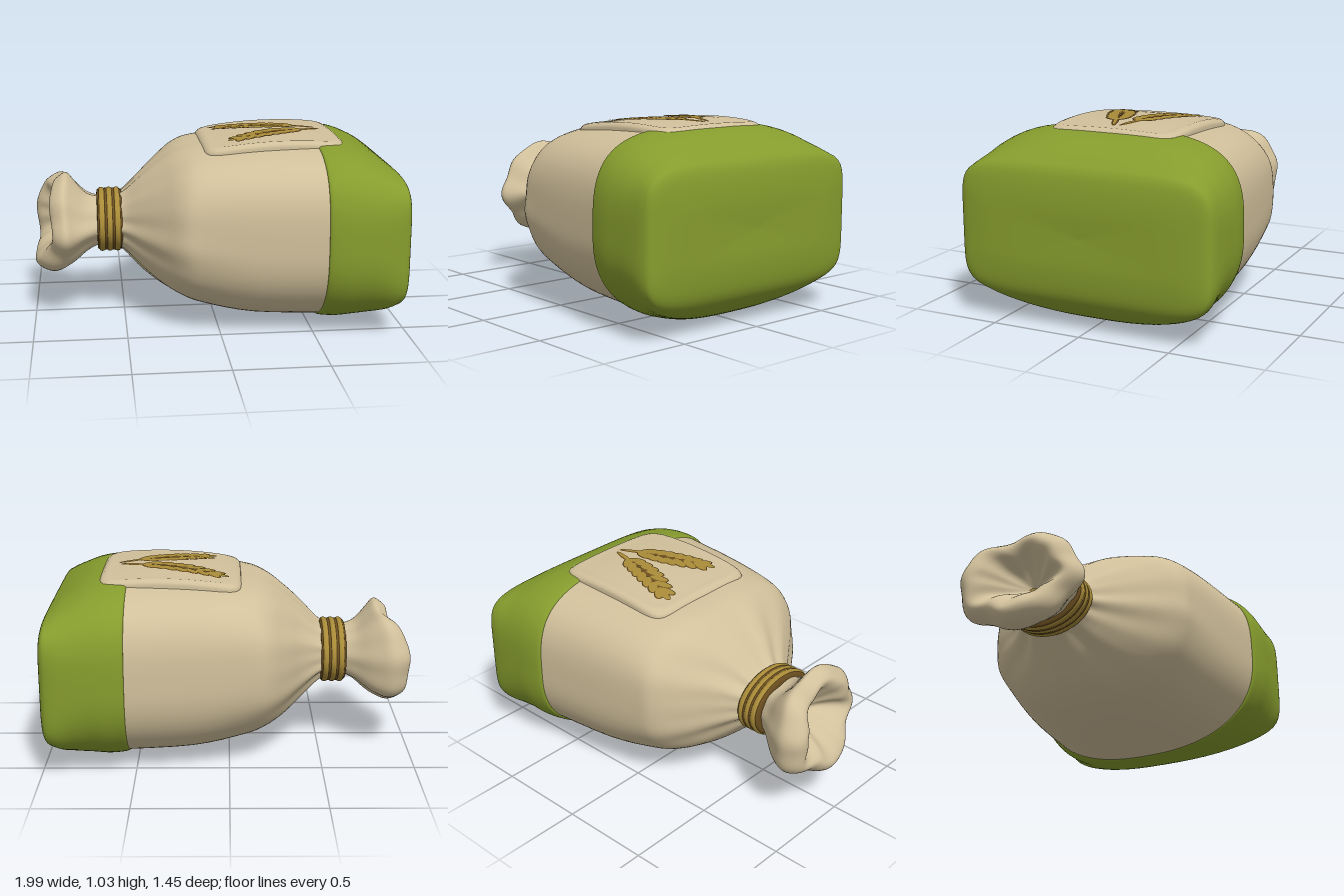
import * as THREE from 'three';

const mat = (name, color) => {
  const m = new THREE.MeshStandardMaterial({ color });
  m.name = name;
  return m;
};

// Catmull-Rom between the rows of a profile table
function refine(rows, sub) {
  const out = [];
  const at = i => rows[Math.min(Math.max(i, 0), rows.length - 1)];
  for (let i = 0; i < rows.length - 1; i++) {
    for (let k = 0; k < sub; k++) {
      const t = k / sub, [a, b, c, d] = [at(i - 1), at(i), at(i + 1), at(i + 2)];
      out.push(b.map((_, j) => b[j] + 0.5 * t * (c[j] - a[j] + t * (2 * a[j] - 5 * b[j] + 4 * c[j] - d[j]
        + t * (3 * (b[j] - c[j]) + d[j] - a[j])))));
    }
  }
  out.push(rows[rows.length - 1]);
  return out;
}

// Indexed surface over closed rings of points
function skin(rings) {
  const n = rings[0].length, pos = rings.flat(2), idx = [];
  for (let i = 0; i < rings.length - 1; i++) {
    for (let j = 0; j < n; j++) {
      const a = i * n + j, b = i * n + (j + 1) % n;
      idx.push(a, a + n, b + n, a, b + n, b);
    }
  }
  const g = new THREE.BufferGeometry();
  g.setAttribute('position', new THREE.Float32BufferAttribute(pos, 3));
  g.setIndex(idx);
  g.computeVertexNormals();
  return g;
}

// Rounded sections along x; row = x, yLow, yHigh, halfZ, squarenessTop, squarenessBottom, centreZ, pleat
function loft(rows, sub = 4, shift = () => 0, waves = [9, 14]) {
  const seg = 112;
  return skin(refine(rows, sub).map(([x, lo, hi, hz, nt, nb, cz, pleat]) => {
    const ring = [];
    for (let j = 0; j < seg; j++) {
      const a = j / seg * Math.PI * 2, c = Math.cos(a), s = Math.sin(a), n = s > 0 ? nt : nb;
      const r = (Math.abs(c) ** n + Math.abs(s) ** n) ** (-1 / n)
        * (1 + pleat * (0.6 * Math.cos(waves[0] * a + 0.5) + 0.4 * Math.cos(waves[1] * a + 1)));
      ring.push([x + shift(x, a), (lo + hi) / 2 + (hi - lo) / 2 * r * s, cz + hz * r * c]);
    }
    return ring;
  }));
}

// Height of the label's surface
const labelY = (x, z) => 1.03 - 0.2 * (x - 0.4) ** 2 - 0.1 * z * z;

export function createModel() {
  const cloth = mat('cloth', 0xd1c09b);
  const green = mat('green', 0x869c2d);
  const gold = mat('gold', 0xa98b38);
  const brown = mat('brown', 0x6b4e1f);
  const model = new THREE.Group();
  model.name = 'tiedSack';
  const add = (name, geo, m, parent = model) => {
    const mesh = new THREE.Mesh(geo, m);
    mesh.name = name;
    parent.add(mesh);
  };

  // Sack belly, pleated towards the neck
  add('sackBody', loft([
    [-0.58, 0.39, 0.66, 0.18, 2, 2, -0.02, 0.05],
    [-0.5, 0.36, 0.69, 0.22, 2, 2, -0.02, 0.06],
    [-0.4, 0.26, 0.785, 0.34, 2.1, 2, 0, 0.04],
    [-0.3, 0.18, 0.87, 0.48, 2.3, 2.1, 0, 0.022],
    [-0.2, 0.125, 0.935, 0.585, 2.7, 2.2, 0, 0.009],
    [-0.08, 0.08, 0.965, 0.615, 3.2, 2.3, 0, 0.003],
    [0.2, 0.025, 0.988, 0.655, 3.4, 2.4, 0, 0],
    [0.6, 0.01, 0.998, 0.7, 3.4, 2.4, 0, 0]
  ]), cloth);

  // Green base that wraps the square end
  add('greenBase', loft([
    [0.55, 0.03, 0.97, 0.68, 3.4, 2.4, 0, 0],
    [0.542, 0.012, 0.995, 0.698, 3.4, 2.4, 0, 0],
    [0.565, 0.002, 1.006, 0.712, 3.4, 2.4, 0, 0],
    [0.65, 0.004, 1.003, 0.724, 3.4, 2.5, 0, 0],
    [0.75, 0.02, 0.982, 0.724, 3.5, 2.6, 0, 0],
    [0.85, 0.06, 0.935, 0.722, 3.9, 3.2, 0, 0],
    [0.925, 0.125, 0.885, 0.714, 5, 4.8, 0, 0],
    [0.966, 0.18, 0.845, 0.69, 6.5, 6.5, 0, 0],
    [0.986, 0.25, 0.775, 0.62, 6, 6, 0, 0],
    [0.996, 0.36, 0.66, 0.45, 5, 5, 0, 0],
    [0.99, 0.51, 0.51, 0, 5, 5, 0, 0]
  ]), green);

  // Gathered mouth beyond the tie, running from the inner throat over the tilted rim to the neck
  const ruffle = (x, a) => THREE.MathUtils.smoothstep(-x, 0.7, 0.93)
    * (0.02 * Math.cos(3 * a + 1) + 0.055 * Math.cos(a - 0.8));
  add('sackMouth', loft([
    [-0.74, 0.51, 0.53, 0.02, 2, 2, -0.02, 0],
    [-0.8, 0.46, 0.6, 0.1, 2, 2, -0.03, 0.1],
    [-0.88, 0.4, 0.66, 0.17, 2, 2, -0.03, 0.12],
    [-0.925, 0.35, 0.7, 0.215, 2, 2, -0.03, 0.12],
    [-0.938, 0.31, 0.74, 0.26, 2, 2, -0.03, 0.1],
    [-0.91, 0.27, 0.775, 0.305, 2, 2, -0.03, 0.08],
    [-0.85, 0.245, 0.8, 0.333, 2, 2, -0.03, 0.06],
    [-0.78, 0.285, 0.75, 0.295, 2, 2, -0.03, 0.07],
    [-0.7, 0.36, 0.68, 0.235, 2, 2, -0.02, 0.07],
    [-0.63, 0.39, 0.66, 0.19, 2, 2, -0.02, 0.05],
    [-0.57, 0.39, 0.66, 0.18, 2, 2, -0.02, 0.04]
  ], 4, ruffle, [5, 8]), cloth);

  // Cord wound three times around the neck
  const tie = new THREE.Group();
  tie.name = 'neckTie';
  model.add(tie);
  const hoop = (x, w, hy, hz) => loft([[-1, 0.05], [-1, 0.012], [-0.7, 0.003], [0, 0], [0.7, 0.003], [1, 0.012], [1, 0.05]]
    .map(([k, d]) => [x + k * w, 0.525 - hy + d, 0.525 + hy - d, hz - d, 2, 2, -0.025, 0]), 2);
  add('tieCore', hoop(-0.575, 0.068, 0.171, 0.231), brown, tie);
  for (let i = -1; i <= 1; i++) add('cordTurn', hoop(-0.575 + i * 0.042, 0.016, 0.176, 0.236), gold, tie);

  // Padded label with a softly raised rim; rows of inset and height
  const rim = [[0, -0.11], [0, -0.028], [0.006, -0.014], [0.018, -0.005], [0.035, -0.001], [0.05, -0.003], [0.07, -0.005]];
  for (let d = 0.1; d < 0.36; d += 0.04) rim.push([d, -0.005]);
  rim.push([0.365, -0.005]);
  add('label', skin(rim.map(([inset, h]) => {
    const ring = [], k = 1 - inset / 0.365;
    for (let j = 0; j < 96; j++) {
      const a = j / 96 * Math.PI * 2, c = Math.cos(a), s = Math.sin(a);
      const r = (Math.abs(c) ** 9 + Math.abs(s) ** 9) ** (-1 / 9);
      const x = 0.315 + 0.383 * k * r * c, z = -0.012 + 0.365 * k * r * s;
      ring.push([x, labelY(x, z) + h, z]);
    }
    return ring.reverse();
  }).reverse()), cloth);

  // Flat oval laid on the label
  const oval = (x, z, len, wid, ang, lift) => {
    const g = new THREE.CircleGeometry(1, 16).scale(len, wid, 1).rotateX(-Math.PI / 2).rotateY(-ang).translate(x, 0, z);
    const p = g.attributes.position;
    for (let i = 0; i < p.count; i++) p.setY(i, labelY(p.getX(i), p.getZ(i)) - 0.005 + lift);
    g.computeVertexNormals();
    return g;
  };

  // Two ears of wheat: a stem and pairs of grains with dark gaps, along a slightly bowed line
  const ears = [[0.59, -0.045, 0.01, -0.225, 0.022], [0.595, 0.012, 0.08, 0.215, -0.022]];
  for (const [x0, z0, x1, z1, bow] of ears) {
    const ear = new THREE.Group();
    ear.name = 'wheatEar';
    model.add(ear);
    const dx = x1 - x0, dz = z1 - z0, ang = Math.atan2(dz, dx), len = Math.hypot(dx, dz);
    const place = (t, side) => [x0 + dx * t - dz / len * side, z0 + dz * t + dx / len * side + bow * Math.sin(Math.PI * t)];
    add('stemEdge', oval(...place(0.15, 0), 0.1, 0.018, ang, 0.003), brown, ear);
    add('stem', oval(...place(0.15, 0), 0.09, 0.011, ang, 0.006), gold, ear);
    add('earBack', oval(...place(0.58, 0), len * 0.38, 0.06, ang, 0.003), brown, ear);
    for (let i = 0; i < 7; i++) {
      const t = 0.28 + i * 0.1, w = 0.041 * Math.sin(Math.PI * (0.24 + i * 0.1));
      for (const s of [-1, 1]) {
        const [x, z] = place(t, s * w), tilt = ang + s * 0.6;
        add('grainEdge', oval(x, z, 0.058, 0.03, tilt, 0.0045), brown, ear);
        add('grain', oval(x, z, 0.052, 0.023, tilt, 0.007), gold, ear);
      }
    }
    add('tipGrain', oval(...place(0.95, 0), 0.04, 0.02, ang, 0.0075), gold, ear);
  }
  return model;
}
